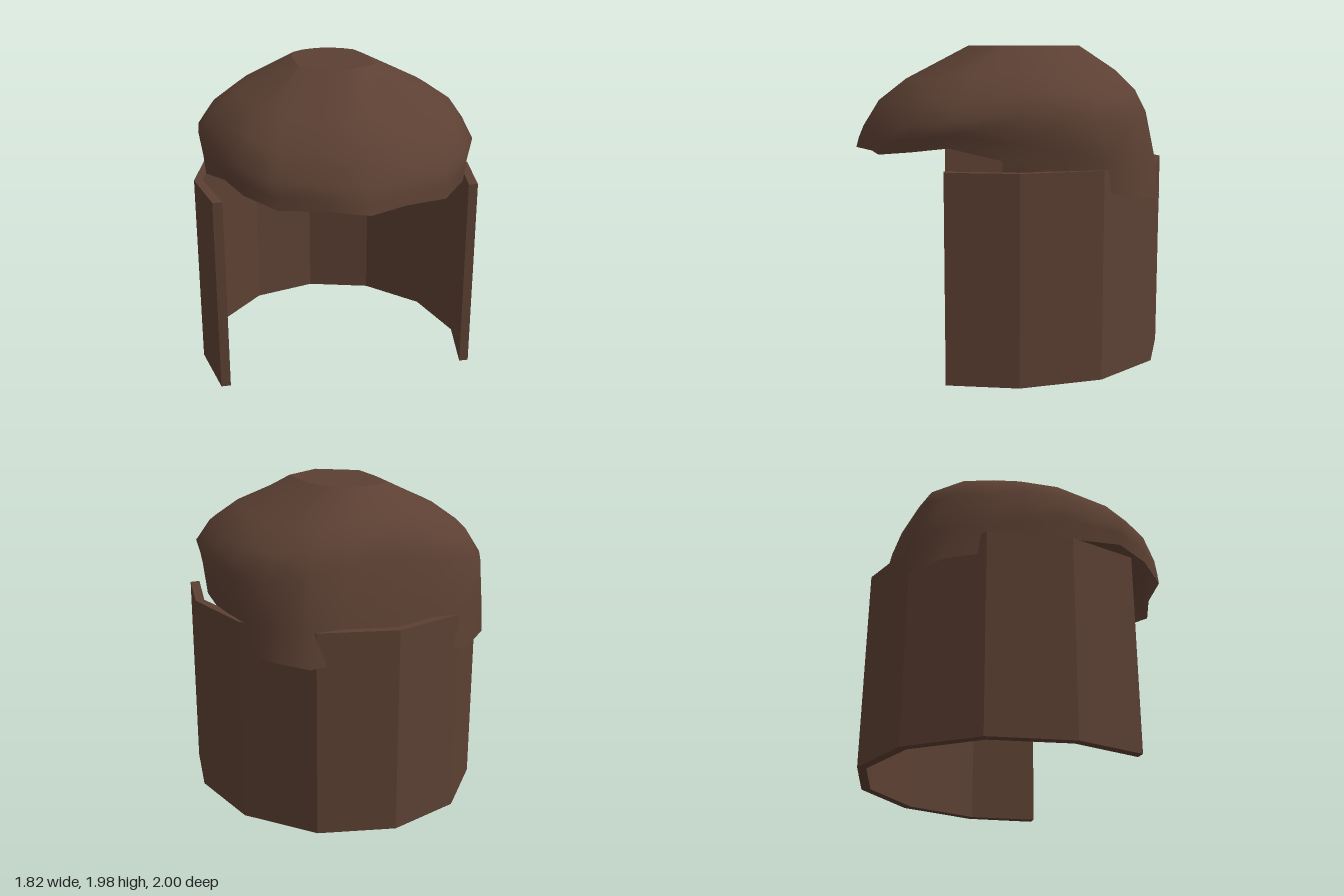
import * as THREE from 'three';

const hair = new THREE.MeshStandardMaterial({ color: 0x5c4033, side: THREE.DoubleSide });
hair.name = 'brownHair';

const TOP_Y = 1.98;

// Half outline of the crown, front to back: [x, z] of the flat top,
// then [x, y, z] of the widest level and of the lower rim
const columns = [
  [[0, 0.27], [0, 1.47, 0.95], [0, 1.33, 1.0]],
  [[0.12, 0.19], [0.25, 1.47, 0.86], [0.24, 1.33, 0.88]],
  [[0.24, 0.11], [0.5, 1.49, 0.79], [0.49, 1.33, 0.82]],
  [[0.24, 0.07], [0.68, 1.53, 0.61], [0.66, 1.36, 0.62]],
  [[0.24, 0.03], [0.79, 1.55, 0.39], [0.75, 1.39, 0.4]],
  [[0.24, -0.05], [0.865, 1.57, -0.03], [0.83, 1.3, 0]],
  [[0.24, -0.15], [0.845, 1.56, -0.28], [0.8, 1.21, -0.28]],
  [[0.23, -0.25], [0.81, 1.52, -0.48], [0.76, 1.13, -0.51]],
  [[0.2, -0.36], [0.69, 1.53, -0.69], [0.7, 1.08, -0.73]],
  [[0.13, -0.42], [0.47, 1.58, -0.8], [0.5, 1.055, -0.89]],
  [[0.06, -0.445], [0.24, 1.6, -0.82], [0.26, 1.07, -0.88]],
  [[0, -0.455], [0, 1.63, -0.82], [0, 1.1, -0.94]],
];

// Mirror a front-to-back half outline into a closed loop
function mirrorLoop(half, flip) {
  return [...half, ...half.slice(1, -1).reverse().map(flip)];
}

// One strand of the dome, from the flat top down to the rim
function strand([t, w, b]) {
  const top = [t[0], TOP_Y, t[1]];
  const blend = (p, q, across, down) =>
    [p[0] + (q[0] - p[0]) * across, p[1] + (q[1] - p[1]) * down, p[2] + (q[2] - p[2]) * across];
  return [top, blend(top, w, 0.59, 0.41), blend(top, w, 0.85, 0.68), w, blend(w, b, 0.65, 0.55), b];
}

// Smooth dome with an open underside
function crownGeometry() {
  const loop = mirrorLoop(columns.map(strand), s => s.map(([x, y, z]) => [-x, y, z]));
  const n = loop.length, rows = loop[0].length;
  const index = [];
  for (let i = 0; i < n; i++) {
    for (let j = 0; j < rows - 1; j++) {
      const a = i * rows + j, b = ((i + 1) % n) * rows + j;
      index.push(a, a + 1, b, b, a + 1, b + 1);
    }
  }
  const g = new THREE.BufferGeometry();
  g.setAttribute('position', new THREE.Float32BufferAttribute(loop.flat(2), 3));
  g.setIndex(index);
  g.computeVertexNormals();
  return g;
}

// Shape drawn on the ground plane from [x, z] points
function groundShape(points) {
  return new THREE.Shape(points.map(([x, z]) => new THREE.Vector2(x, -z)));
}

function createModel() {
  const group = new THREE.Group();
  group.name = 'hair';
  const add = (geometry, name) => {
    const mesh = new THREE.Mesh(geometry, hair);
    mesh.name = name;
    group.add(mesh);
    return mesh;
  };

  add(crownGeometry(), 'crown');

  // Flat patch closing the crown
  const topLoop = mirrorLoop(columns.map(c => c[0]), ([x, z]) => [-x, z]);
  add(new THREE.ShapeGeometry(groundShape(topLoop)).rotateX(-Math.PI / 2), 'crownTop').position.y = TOP_Y;

  // Faceted curtain of long hair, open at the front
  const outer = [[0, -1], [0.455, -0.87], [0.79, -0.5], [0.91, 0], [0.83, 0.43]];
  const inner = [[0, -0.945], [0.425, -0.82], [0.74, -0.47], [0.855, 0], [0.77, 0.43]];
  const bothSides = half => [...half.slice(1).reverse().map(([x, z]) => [-x, z]), ...half];
  const wall = [...bothSides(outer), ...bothSides(inner).reverse()];
  const curtain = new THREE.ExtrudeGeometry(groundShape(wall), { depth: 1.26, bevelEnabled: false });
  add(curtain.rotateX(-Math.PI / 2), 'longHair');

  return group;
}

export { createModel };
